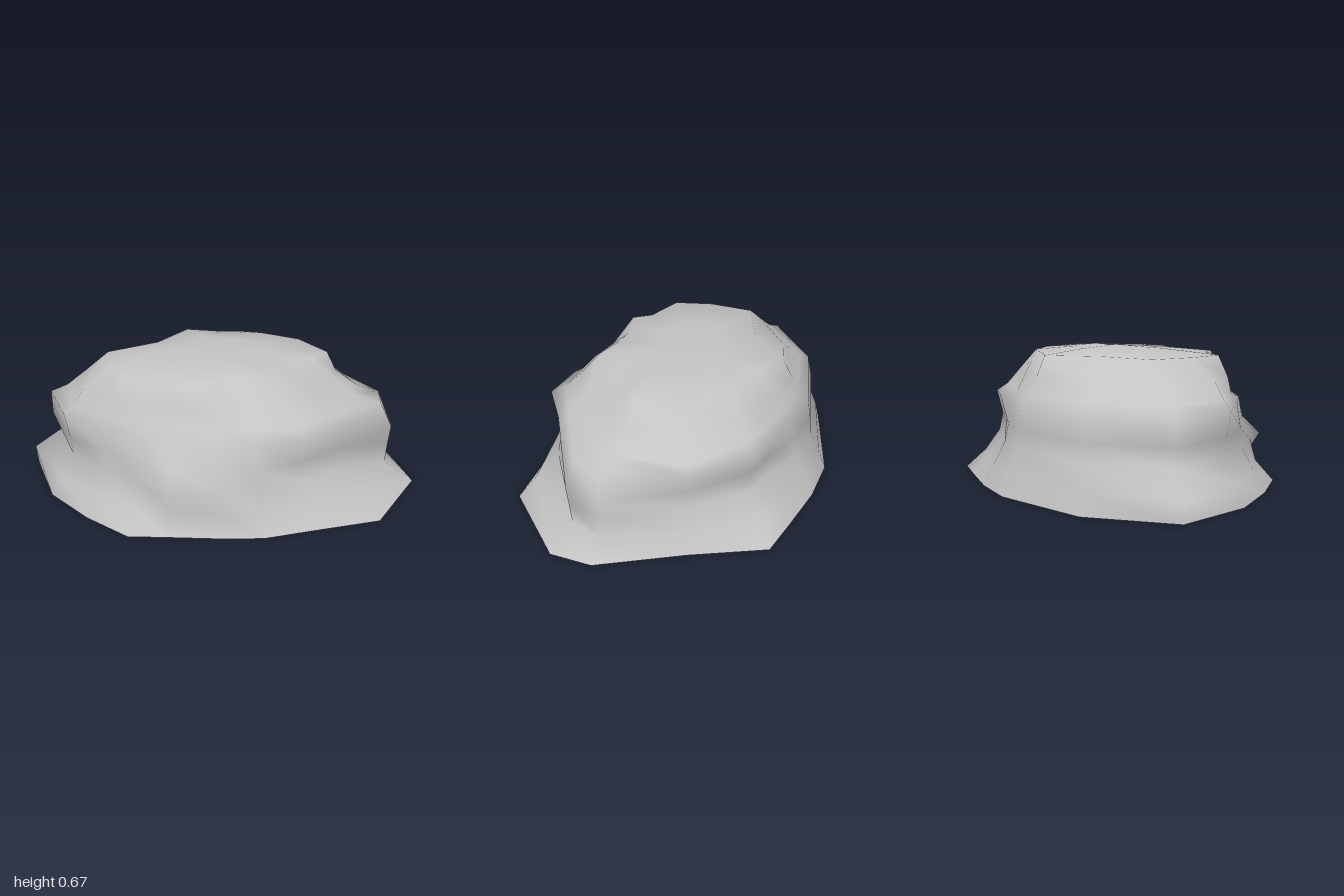
import * as THREE from 'three';

// Directions of the boulder's ridges, in degrees from +x towards +z
const ANGLES = [2, 30, 50, 68, 84, 103, 115, 134, 154, 177, 204, 240, 260, 281, 295, 323, 350];

// Cross-sections from the ground up: height, then the radius along each ridge
const RINGS = [
  [0.0, [1.0, 0.93, 0.77, 0.735, 0.71, 0.74, 0.81, 0.82, 0.89, 0.98, 0.84, 0.72, 0.7, 0.735, 0.82, 0.77, 0.95]],
  [0.1, [0.85, 0.83, 0.7, 0.68, 0.67, 0.68, 0.72, 0.76, 0.84, 0.99, 0.81, 0.68, 0.65, 0.655, 0.71, 0.73, 0.86]],
  [0.21, [0.86, 0.71, 0.67, 0.66, 0.66, 0.75, 0.69, 0.7, 0.77, 0.84, 0.76, 0.63, 0.59, 0.57, 0.63, 0.68, 0.86]],
  [0.3, [0.87, 0.67, 0.65, 0.65, 0.63, 0.66, 0.65, 0.69, 0.78, 0.88, 0.76, 0.62, 0.57, 0.56, 0.61, 0.68, 0.87]],
  [0.42, [0.81, 0.69, 0.71, 0.64, 0.58, 0.6, 0.63, 0.67, 0.8, 0.88, 0.73, 0.6, 0.545, 0.59, 0.64, 0.74, 0.82]],
  [0.46, [0.67, 0.64, 0.63, 0.56, 0.52, 0.55, 0.57, 0.64, 0.76, 0.79, 0.67, 0.54, 0.52, 0.54, 0.58, 0.7, 0.7]],
  [0.54, [0.57, 0.54, 0.54, 0.51, 0.49, 0.53, 0.54, 0.62, 0.7, 0.69, 0.56, 0.51, 0.48, 0.47, 0.51, 0.6, 0.59]],
  [0.64, [0.46, 0.36, 0.45, 0.38, 0.38, 0.49, 0.46, 0.57, 0.56, 0.57, 0.38, 0.46, 0.39, 0.4, 0.42, 0.48, 0.54]],
];

function ringPoints([y, radii], scale = 1) {
  return radii.flatMap((r, j) => {
    const a = THREE.MathUtils.degToRad(ANGLES[j]);
    return [r * scale * Math.cos(a), y, r * scale * Math.sin(a)];
  });
}

function makeGeometry(positions, index) {
  const g = new THREE.BufferGeometry();
  g.setAttribute('position', new THREE.Float32BufferAttribute(positions, 3));
  g.setIndex(index);
  g.computeVertexNormals();
  return g;
}

export function createModel() {
  const model = new THREE.Group();
  model.name = 'boulder';
  const stone = new THREE.MeshStandardMaterial({ color: 0xc4c4c4 });
  stone.name = 'grey stone';
  const n = ANGLES.length;

  // Weathered sides and gently domed crown, smoothly shaded
  const rings = RINGS.map((ring) => ringPoints(ring));
  const top = RINGS[RINGS.length - 1];
  rings.push(ringPoints([0.66, top[1]], 0.5));
  const positions = [...rings.flat(), 0, 0.67, 0];
  const index = [];
  for (let i = 0; i < rings.length; i++) {
    for (let j = 0; j < n; j++) {
      const k = (j + 1) % n;
      const a = i * n + j, b = i * n + k;
      if (i === rings.length - 1) index.push(a, rings.length * n, b);
      else index.push(a, a + n, b + n, a, b + n, b);
    }
  }
  const body = new THREE.Mesh(makeGeometry(positions, index), stone);
  body.name = 'rockBody';
  model.add(body);

  // Flat underside
  const fan = [];
  for (let j = 0; j < n; j++) fan.push(n, j, (j + 1) % n);
  const base = new THREE.Mesh(makeGeometry([...rings[0], 0, 0, 0], fan), stone);
  base.name = 'underside';
  model.add(base);
  return model;
}
